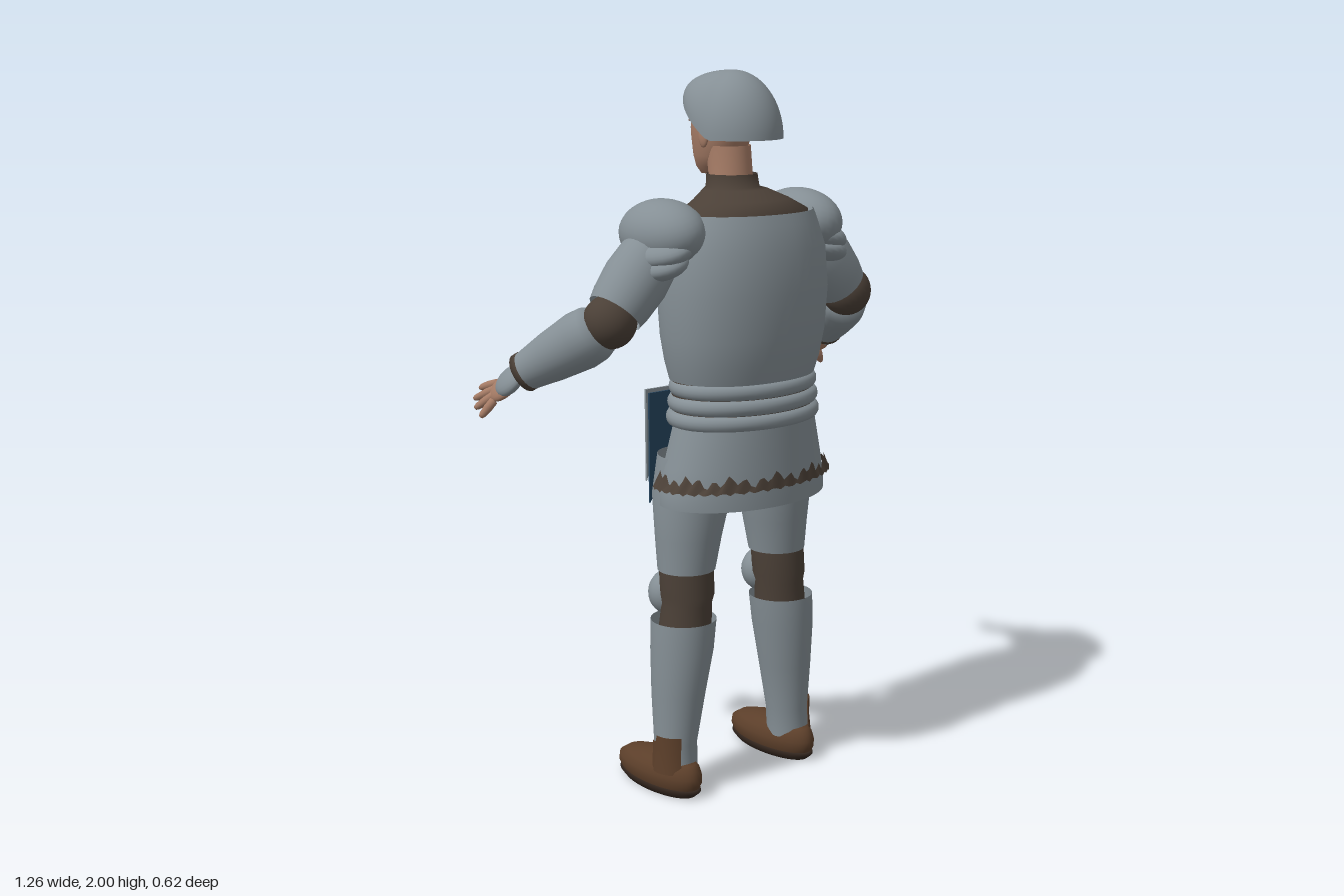
import * as THREE from 'three';
import { mergeVertices } from 'three/addons/utils/BufferGeometryUtils.js';

const mat = (name, color) => new THREE.MeshStandardMaterial({ name, color, side: THREE.DoubleSide });
const V = (p) => new THREE.Vector3(...p);

// Stacked oval rings, listed upwards as [x, y, z, radiusX, radiusZ]; angle 0 points to +z
function loft(rows, { from = 0, to = Math.PI * 2, seg = 48, exp = 2, jag = null } = {}) {
  const pos = [], idx = [], n = seg + 1, e = 2 / exp;
  const pw = (v) => Math.sign(v) * Math.abs(v) ** e;
  rows.forEach(([x, y, z, rx, rz], i) => {
    for (let j = 0; j < n; j++) {
      const a = from + (to - from) * j / seg;
      pos.push(x + rx * pw(Math.sin(a)), y + (jag ? jag(i, j) : 0), z + rz * pw(Math.cos(a)));
      if (i < rows.length - 1 && j < seg) {
        const p = i * n + j;
        idx.push(p, p + 1, p + n + 1, p, p + n + 1, p + n);
      }
    }
  });
  let g = new THREE.BufferGeometry();
  g.setAttribute('position', new THREE.Float32BufferAttribute(pos, 3));
  g.setIndex(idx);
  g = mergeVertices(g, 1e-5);
  g.computeVertexNormals();
  return g;
}

// Turned shape from a to b; profile is [radius, fraction of length]
function limb(a, b, profile, seg = 24) {
  const A = V(a), d = V(b).sub(A), len = d.length();
  const g = new THREE.LatheGeometry(profile.map(([r, t]) => new THREE.Vector2(r, t * len)), seg);
  g.applyQuaternion(new THREE.Quaternion().setFromUnitVectors(new THREE.Vector3(0, 1, 0), d.normalize()));
  return g.translate(A.x, A.y, A.z);
}

const ball = (c, r, rot = [0, 0, 0]) => new THREE.SphereGeometry(1, 28, 18).scale(...r)
  .rotateX(rot[0]).rotateY(rot[1]).rotateZ(rot[2]).translate(...c);

// Thin flat plate in the xy plane
const plate = (pts, z, depth = 0.006) => mergeVertices(new THREE.ExtrudeGeometry(
  new THREE.Shape(pts.map(([x, y]) => new THREE.Vector2(x, y))), { depth, bevelEnabled: false }).translate(0, 0, z));

function flipped(geo) {
  const g = geo.clone().scale(-1, 1, 1), ix = g.index.array;
  for (let i = 0; i < ix.length; i += 3) [ix[i], ix[i + 1]] = [ix[i + 1], ix[i]];
  return g;
}

export function createModel() {
  const steel = mat('steel', 0x858f95), mail = mat('darkMail', 0x4b4037), leather = mat('leather', 0x5c3f2a);
  const sole = mat('soleBrown', 0x33261e), skin = mat('skin', 0xa67c66), blue = mat('blueCloth', 0x25435c);
  const dark = mat('darkDetail', 0x3a2b25);
  const model = new THREE.Group();
  model.name = 'armouredSoldier';
  const add = (name, geo, m) => {
    const mesh = new THREE.Mesh(geo, m);
    mesh.name = name;
    model.add(mesh);
  };
  const pair = (name, geo, m) => {
    add(name + 'Left', geo, m);
    add(name + 'Right', flipped(geo), m);
  };

  // Helmet: dome whose rim sweeps up over the brow
  const rows = 16, seg = 56, dome = loft(Array.from({ length: rows + 1 }, (_, i) => {
    const r = Math.max(Math.cos(i / rows * Math.PI / 2), 0.001);
    return [0, Math.sin(i / rows * Math.PI / 2), 0.08, 0.13 * r, 0.142 * r];
  }), { seg });
  const dp = dome.attributes.position;
  for (let i = 0; i < dp.count; i++) {
    const s = dp.getY(i), r = Math.max(Math.sqrt(1 - s * s), 0.001);
    const rimZ = 0.08 + (dp.getZ(i) - 0.08) / r;
    const rim = 1.82 + Math.max(0, 0.12 - rimZ) * 0.73;
    dp.setY(i, rim + (2 - rim) * s);
  }
  dome.computeVertexNormals();
  add('helmet', dome, steel);

  // Head and face
  add('neck', loft([[0, 1.64, 0.075, 0.07, 0.065], [0, 1.72, 0.07, 0.06, 0.06], [0, 1.8, 0.06, 0.06, 0.062]]), skin);
  add('head', loft([[0, 1.717, -0.01, 0.002, 0.003], [0, 1.72, -0.008, 0.026, 0.034], [0, 1.74, 0.003, 0.046, 0.054],
    [0, 1.77, 0.02, 0.061, 0.076], [0, 1.82, 0.03, 0.071, 0.09], [0, 1.87, 0.036, 0.075, 0.096],
    [0, 1.92, 0.045, 0.066, 0.085], [0, 1.95, 0.05, 0.04, 0.05], [0, 1.96, 0.05, 0.002, 0.002]], { exp: 2.15 }), skin);
  add('nose', limb([0, 1.85, -0.056], [0, 1.803, -0.07], [[0, 0], [0.008, 0.1], [0.013, 0.8], [0.009, 1], [0, 1.1]], 12), skin);
  add('mouth', ball([0, 1.775, -0.058], [0.021, 0.003, 0.006]), dark);
  add('lowerLip', ball([0, 1.768, -0.056], [0.018, 0.005, 0.007]), skin);
  pair('eye', ball([0.028, 1.843, -0.054], [0.012, 0.005, 0.006], [0, -0.3, 0]), dark);
  pair('brow', ball([0.029, 1.862, -0.055], [0.02, 0.005, 0.008], [0, -0.3, 0.1]), skin);
  pair('ear', ball([0.075, 1.825, 0.045], [0.009, 0.03, 0.018]), skin);

  // Torso armour
  add('collar', loft([[0, 1.57, 0.125, 0.215, 0.145], [0, 1.63, 0.125, 0.195, 0.14], [0, 1.66, 0.115, 0.14, 0.115],
    [0, 1.685, 0.09, 0.09, 0.085], [0, 1.69, 0.078, 0.074, 0.072], [0, 1.725, 0.075, 0.07, 0.068]]), mail);
  add('cuirass', loft([[0, 1.18, 0.12, 0.22, 0.155], [0, 1.23, 0.122, 0.235, 0.166], [0, 1.3, 0.123, 0.247, 0.178],
    [0, 1.42, 0.123, 0.255, 0.186], [0, 1.53, 0.122, 0.245, 0.182], [0, 1.6, 0.122, 0.222, 0.163],
    [0, 1.63, 0.123, 0.21, 0.152]], { exp: 2.15 }), steel);
  add('waistLining', loft([[0, 0.87, 0.1, 0.1, 0.09], [0, 0.95, 0.11, 0.19, 0.12],
    [0, 1.08, 0.12, 0.215, 0.15], [0, 1.2, 0.12, 0.22, 0.152]]), mail);
  for (let k = 0; k < 3; k++) {
    const y = 1.16 - k * 0.042, w = k * 0.004;
    add('waistBand' + (k + 1), loft([-1, -0.8, -0.4, 0, 0.4, 0.8, 1].map((t) => {
      const b = 0.016 * Math.sqrt(1 - t * t);
      return [0, y + t * 0.021, 0.125, 0.212 + w + b, 0.148 + w + b];
    })), steel);
  }

  // Hips, rear skirt and its torn hem
  add('hipPlate', loft([[0, 0.93, 0.125, 0.235, 0.15], [0, 1.0, 0.13, 0.226, 0.152], [0, 1.07, 0.13, 0.215, 0.155]]), steel);
  const arc = { from: -1.85, to: 1.85 };
  add('rearSkirt', loft([[0, 0.84, 0.12, 0.265, 0.172], [0, 0.88, 0.12, 0.266, 0.172], [0, 0.95, 0.12, 0.25, 0.17],
    [0, 1.07, 0.125, 0.218, 0.163]], arc), steel);
  const rag = (i, j) => i === 1 ? 0.012 * Math.sin(j * 1.7) + 0.008 * Math.sin(j * 0.6) : 0.004 * Math.sin(j * 2.3);
  add('tornHem', loft([[0, 0.893, 0.12, 0.288, 0.18], [0, 0.922, 0.12, 0.264, 0.176]], { ...arc, seg: 72, jag: rag }), mail);

  // Front cloth with ragged steel-grey strips over it
  const strip = (x0, x1, top, low, n, amp) => {
    const pts = [[x0, top]];
    for (let i = 0; i <= n; i++) pts.push([x0 + (x1 - x0) * i / n, low + (i % 2 ? amp : 0) + 0.01 * Math.sin(i * 2.1)]);
    return [...pts, [x1, top]];
  };
  pair('frontCloth', plate(strip(0.02, 0.185, 1.12, 0.815, 8, 0.012), -0.064), blue);
  [[0.015, 0.06, 0.96], [0.085, 0.15, 0.9], [0.15, 0.19, 0.86]].forEach(([a, b, low], i) =>
    pair('greyStrip' + i, plate(strip(a, b, 1.13, low, 4, 0.035), -0.072), steel));
  pair('clothTop', plate([[0.01, 1.07], [0.19, 1.06], [0.19, 1.13], [0.01, 1.13]], -0.073), steel);
  add('clothKnot', ball([0, 1.12, -0.06], [0.015, 0.02, 0.015]), leather);
  add('pouch', ball([0.23, 1.11, 0.085], [0.036, 0.07, 0.045]), leather);

  // Starburst ornament on the chest
  add('starburst', plate(Array.from({ length: 16 }, (_, i) => {
    const r = i % 2 ? 0.009 : 0.036, a = i * Math.PI / 8;
    return [r * Math.sin(a), 1.46 + r * Math.cos(a)];
  }), -0.067, 0.009), leather);
  add('starburstTail', plate([[0, 1.3], [0.005, 1.42], [-0.005, 1.42]], -0.065, 0.009), leather);

  // Arms
  const elbow = [0.425, 1.365, 0.085], wrist = [0.55, 1.215, -0.13];
  pair('pauldron', ball([0.245, 1.582, 0.08], [0.1, 0.09, 0.14], [0, 0, -0.25]), steel);
  pair('upperLame', ball([0.275, 1.54, 0.088], [0.087, 0.045, 0.125], [0, 0, -0.3]), steel);
  pair('lowerLame', ball([0.285, 1.505, 0.09], [0.082, 0.042, 0.115], [0, 0, -0.3]), steel);
  pair('upperArm', limb([0.25, 1.56, 0.075], [0.405, 1.385, 0.08],
    [[0.06, 0], [0.083, 0.25], [0.089, 0.55], [0.083, 0.85], [0.076, 1]]), steel);
  pair('elbowMail', ball(elbow, [0.072, 0.072, 0.072]), mail);
  pair('forearm', limb([0.43, 1.35, 0.07], wrist,
    [[0, -0.05], [0.06, 0], [0.076, 0.14], [0.079, 0.3], [0.068, 0.65], [0.052, 1]]), steel);
  pair('cuff', limb([0.543, 1.224, -0.118], [0.554, 1.21, -0.138], [[0.045, 0], [0.055, 0.2], [0.055, 0.8], [0.03, 1]]), mail);

  // Hands: oriented by finger direction, back of hand and width
  const d = V([0.04, -0.09, -0.16]).normalize(), w0 = V([0.06, -0.07, 0.08]);
  const n = w0.clone().cross(d).normalize(), w = d.clone().cross(n).normalize();
  const handPart = (c, r) => new THREE.SphereGeometry(1, 20, 14).scale(...r)
    .applyMatrix4(new THREE.Matrix4().makeBasis(w, d, w.clone().cross(d)).setPosition(V(c)));
  const palm = [0.57, 1.168, -0.198];
  pair('palm', handPart(palm, [0.042, 0.058, 0.018]), skin);
  pair('gauntlet', handPart([0.567, 1.187, -0.175], [0.045, 0.053, 0.023]), steel);
  const tips = [[0.577, 1.148, -0.308], [0.602, 1.122, -0.3], [0.618, 1.102, -0.272], [0.627, 1.085, -0.232]];
  const finger = [[0, -0.03], [0.012, 0.05], [0.0125, 0.45], [0.0095, 0.85], [0.006, 0.97], [0, 1]];
  tips.forEach((tip, i) => {
    const root = V(palm).addScaledVector(d, 0.035).addScaledVector(w, -0.028 + i * 0.019);
    pair('finger' + (i + 1), limb(root.toArray(), tip, finger, 12), skin);
  });
  pair('thumb', limb([0.54, 1.19, -0.185], [0.505, 1.185, -0.268], [[0, -0.03], [0.016, 0.1], [0.014, 0.6], [0.009, 0.9], [0, 1]], 12), skin);

  // Legs
  pair('thigh', loft([[0.167, 0.645, 0.08, 0.081, 0.08], [0.16, 0.74, 0.08, 0.092, 0.094],
    [0.15, 0.86, 0.083, 0.108, 0.112], [0.142, 0.97, 0.09, 0.1, 0.112]]), steel);
  pair('kneeMail', loft([[0.178, 0.46, 0.085, 0.075, 0.075], [0.172, 0.55, 0.087, 0.07, 0.07],
    [0.17, 0.575, 0.087, 0.076, 0.075], [0.168, 0.67, 0.08, 0.077, 0.076]]), mail);
  pair('kneeGuard', ball([0.172, 0.567, 0.025], [0.073, 0.068, 0.063]), steel);
  pair('greave', loft([[0.212, 0.07, 0.085, 0.06, 0.062], [0.21, 0.15, 0.082, 0.06, 0.062], [0.2, 0.29, 0.083, 0.075, 0.077],
    [0.188, 0.42, 0.085, 0.088, 0.09], [0.181, 0.505, 0.084, 0.092, 0.092]]), steel);
  pair('anklePatch', loft([[0.213, 0.07, 0.085, 0.068, 0.07], [0.212, 0.12, 0.083, 0.065, 0.067], [0.21, 0.178, 0.083, 0.066, 0.068]],
    { from: 0.45, to: 2, seg: 16, jag: (i, j) => i === 2 ? -0.02 * (j > 12) : 0 }), leather);

  // Shoes
  const fz = 0.015, fx = 0.214;
  pair('shoe', loft([[fx, 0.022, fz, 0.066, 0.155], [fx, 0.04, fz, 0.073, 0.166], [fx, 0.06, fz + 0.002, 0.073, 0.164],
    [fx, 0.08, fz + 0.014, 0.065, 0.145], [fx, 0.095, fz + 0.035, 0.05, 0.11], [fx, 0.102, 0.06, 0.02, 0.06],
    [fx, 0.103, 0.06, 0.001, 0.001]]), leather);
  pair('sole', loft([[fx, 0, fz, 0.001, 0.001], [fx, 0.001, fz, 0.06, 0.145], [fx, 0.016, fz, 0.07, 0.163],
    [fx, 0.026, fz, 0.068, 0.16], [fx, 0.03, fz, 0.02, 0.05]]), sole);
  return model;
}
